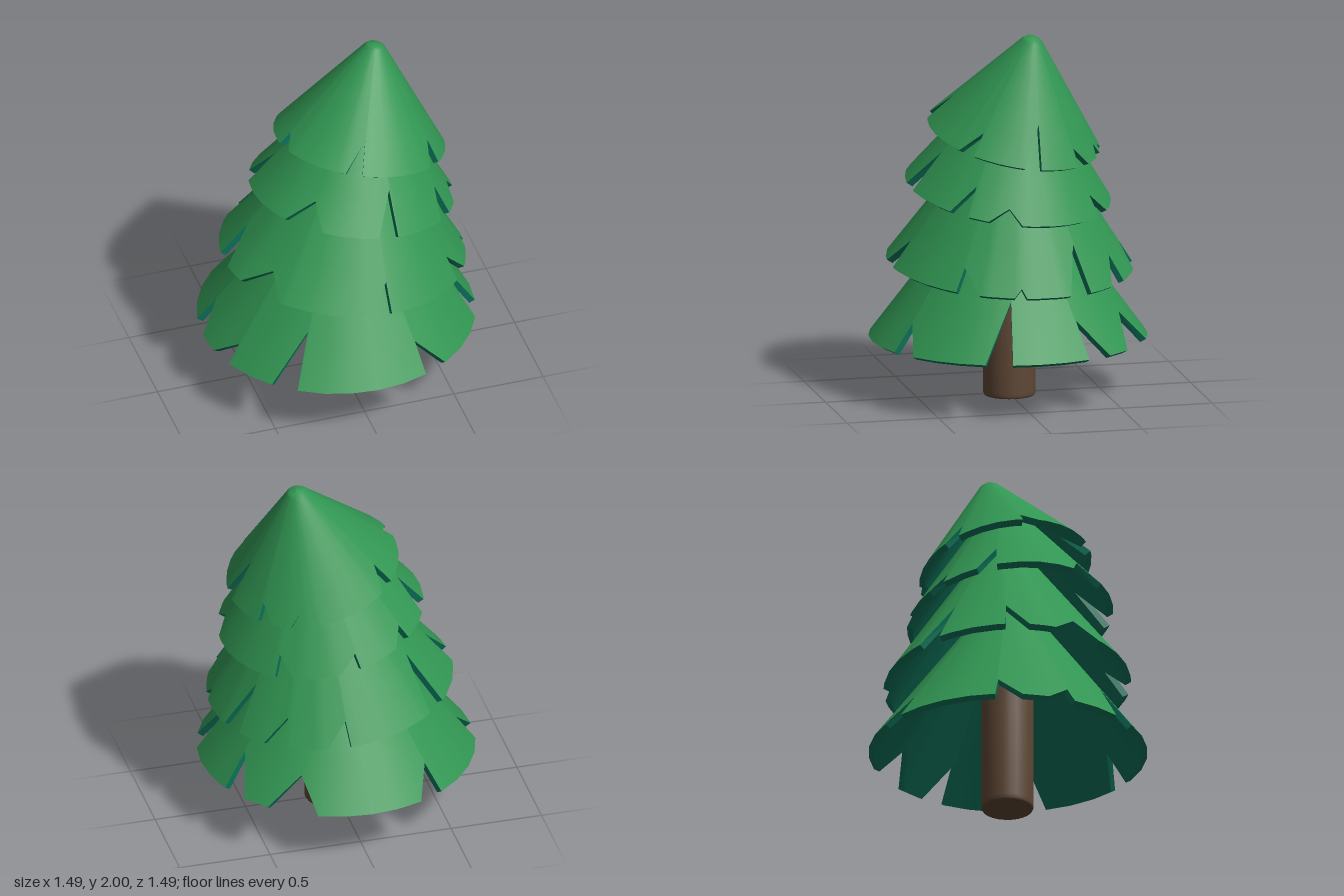
import * as THREE from 'three';

const green = new THREE.MeshStandardMaterial({ color: 0x319552 });
green.name = 'needle green';
const teal = new THREE.MeshStandardMaterial({ color: 0x0b7259 });
teal.name = 'underside teal';
const brown = new THREE.MeshStandardMaterial({ color: 0x5e4735 });
brown.name = 'bark brown';

const SIDES = 32, STEP = 360 / SIDES, ROWS = 4;
const TOP_RADIUS = 0.055, THICKNESS = 0.03;
const lerp = THREE.MathUtils.lerp;

// Notch rule: [start degrees, depth, width]; 0 is +x, 90 is +z.
// A plain notch has its tip near its start, or near its end if depth is negative.
// A notch with its own width is a wide V.
function notchCorners([start, depth, width]) {
  const span = width ?? 11.4;
  const tip = width ? 0.42 : depth < 0 ? 0.94 : 0.06;
  return { start, span, tip: start + span * tip, depth: Math.abs(depth) };
}

// Rim outline: sorted [degrees, height fraction] pairs including the notch corners
function rimOutline(notches) {
  const out = [];
  for (const { start, span, tip, depth } of notches) {
    out.push([start % 360, 0], [tip % 360, depth], [(start + span) % 360, 0]);
  }
  const corners = out.map(p => p[0]);
  for (let i = 0; i < SIDES; i++) {
    const a = i * STEP;
    const inNotch = notches.some(n => (a - n.start + 360) % 360 < n.span);
    const near = corners.some(c => Math.abs(((a - c + 540) % 360) - 180) < 1.5);
    if (!inNotch && !near) out.push([a, 0]);
  }
  return out.sort((p, q) => p[0] - q[0]);
}

// Point on a tier's cone; inset moves it to the inner skin
function conePoint(tier, deg, t, inset, shrink = 1, lift = 0) {
  const a = THREE.MathUtils.degToRad(deg);
  const r = (lerp(tier.radius, TOP_RADIUS, t) - inset) * shrink;
  const dx = r * Math.cos(a), dz = r * Math.sin(a);
  return [
    lerp(tier.rim[0], tier.top[0], t) + dx,
    lerp(tier.rim[1], tier.top[1], t) + dx * tier.tilt[0] + dz * tier.tilt[1] + lift - inset * 0.6,
    lerp(tier.rim[2], tier.top[2], t) + dz,
  ];
}

function geometryFrom(positions, index) {
  const g = new THREE.BufferGeometry();
  g.setAttribute('position', new THREE.Float32BufferAttribute(positions, 3));
  g.setIndex(index);
  return g;
}

// One smooth skin of a tier with a small domed tip
function skin(tier, outline, inset, inward) {
  const pos = [], index = [], n = outline.length, rows = ROWS + 3;
  for (const [deg, low] of outline) {
    for (let j = 0; j <= ROWS; j++) pos.push(...conePoint(tier, deg, lerp(low, 1, j / ROWS), inset));
    pos.push(...conePoint(tier, deg, 1, inset, 0.7, 0.013));
    pos.push(...conePoint(tier, deg, 1, inset, 0.02, 0.02));
  }
  for (let i = 0; i < n; i++) {
    for (let j = 0; j < rows - 1; j++) {
      const a = i * rows + j, b = ((i + 1) % n) * rows + j;
      if (inward) index.push(a, b, a + 1, b, b + 1, a + 1);
      else index.push(a, a + 1, b, b, a + 1, b + 1);
    }
  }
  const g = geometryFrom(pos, index);
  g.computeVertexNormals();
  return g;
}

// Flat band joining the outer and inner skins along the notched rim
function rimBand(tier, outline) {
  const pos = [], index = [], n = outline.length;
  for (const [deg, low] of outline) {
    pos.push(...conePoint(tier, deg, low, 0), ...conePoint(tier, deg, low, THICKNESS));
  }
  for (let i = 0; i < n; i++) {
    const a = i * 2, b = ((i + 1) % n) * 2;
    index.push(a, b, a + 1, b, b + 1, a + 1);
  }
  const g = geometryFrom(pos, index).toNonIndexed();
  g.computeVertexNormals();
  return g;
}

function addMesh(parent, name, geometry, material) {
  const mesh = new THREE.Mesh(geometry, material);
  mesh.name = name;
  parent.add(mesh);
  return mesh;
}

// One foliage tier: a leaning cone shell with a tilted, notched rim
function addTier(tree, name, tier, notches) {
  const group = new THREE.Group();
  group.name = name;
  const outline = rimOutline(notches.map(notchCorners));
  addMesh(group, 'foliage', skin(tier, outline, 0, false), green);
  addMesh(group, 'underside', skin(tier, outline, THICKNESS, true), teal);
  addMesh(group, 'rim', rimBand(tier, outline), teal);
  tree.add(group);
}

export function createModel() {
  const tree = new THREE.Group();
  tree.name = 'pineTree';

  // Trunk
  const profile = [[0, 0], [0.135, 0], [0.14, 0.01], [0.14, 0.03], [0.14, 1], [0, 1]];
  const trunk = addMesh(tree, 'trunk',
    new THREE.LatheGeometry(profile.map(p => new THREE.Vector2(...p)), 24), brown);
  trunk.position.x = 0.03;

  // Foliage, from the ground up
  addTier(tree, 'bottomTier',
    { rim: [0, 0.32, 0], radius: 0.745, tilt: [0, 0], top: [0.04, 1.26, 0] },
    [[11.2, 0.32], [56.2, -0.16], [123.7, 0.27], [157.5, 0.1], [180, -0.14],
      [236.2, 0.15], [292.5, 0.18, 22], [326.2, -0.2]]);

  addTier(tree, 'lowerMiddleTier',
    { rim: [0.035, 0.73, 0], radius: 0.66, tilt: [-0.09, 0.03], top: [0.13, 1.62, -0.02] },
    [[5, 0.05, 6], [27.5, -0.13], [84, 0.16], [138, 0.13, 25], [175.5, -0.21],
      [219.5, 0.3], [275, 0.13], [306, 0.15], [332, 0.26]]);

  addTier(tree, 'upperMiddleTier',
    { rim: [0.08, 1.14, 0.02], radius: 0.55, tilt: [-0.16, 0.09], top: [0.17, 1.84, -0.02] },
    [[5, 0.1, 19], [36, 0.2], [80.6, 0.3], [124, 0.18, 24], [193.5, 0.25],
      [226.5, 0.1], [262, 0.1], [300, -0.14]]);

  addTier(tree, 'topTier',
    { rim: [0.13, 1.445, 0], radius: 0.46, tilt: [-0.2, 0.14], top: [0.24, 1.98, -0.075] },
    [[41, 0.2], [105.5, 0.28], [163, -0.12], [219, 0.2], [279, 0.05, 9],
      [289.5, 0.1, 10], [313, -0.15], [354.3, 0.36]]);

  return tree;
}
